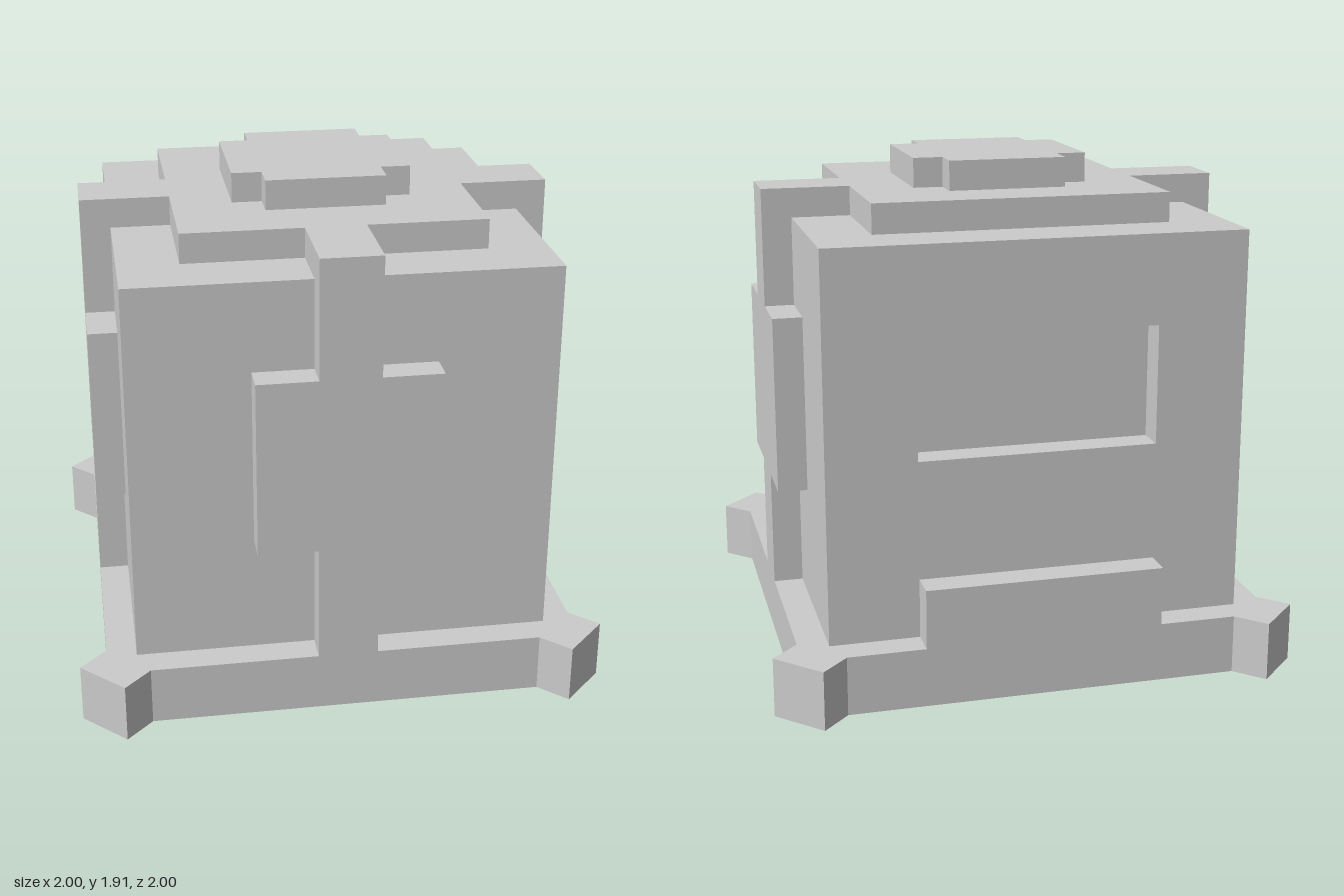
import * as THREE from 'three';

const U = 0.1125; // grid unit that every part snaps to
const material = new THREE.MeshStandardMaterial({ color: 0xcccccc, flatShading: true });

function add(parent, name, geometry) {
  const mesh = new THREE.Mesh(geometry, material);
  mesh.name = name;
  parent.add(mesh);
  return mesh;
}

// Box given by its minimum and maximum corners, in grid units
function box(parent, name, [x0, y0, z0], [x1, y1, z1]) {
  const g = new THREE.BoxGeometry((x1 - x0) * U, (y1 - y0) * U, (z1 - z0) * U);
  g.translate((x0 + x1) / 2 * U, (y0 + y1) / 2 * U, (z0 + z1) / 2 * U);
  return add(parent, name, g);
}

const shapeOf = (pts) => new THREE.Shape(pts.map(([x, y]) => new THREE.Vector2(x, y)));
const rect = (x0, y0, x1, y1) => [[x0, y0], [x1, y0], [x1, y1], [x0, y1]].map((p) => p.map((v) => v * U));
const extrude = (shape, depth) => new THREE.ExtrudeGeometry(shape, { depth, bevelEnabled: false });

// Repeat a corner outline around the four quadrants
function fourCorners(corner) {
  const pts = [];
  let quad = corner;
  for (let i = 0; i < 4; i++) {
    pts.push(...quad);
    quad = quad.map(([x, y]) => [-y, x]);
  }
  return pts;
}

// Horizontal slab from a plan outline, bottom at y0
function slab(parent, name, pts, y0, height) {
  const g = extrude(shapeOf(pts), height);
  g.rotateX(-Math.PI / 2);
  g.translate(0, y0, 0);
  return add(parent, name, g);
}

export function createModel() {
  const model = new THREE.Group();
  model.name = 'crate';

  // Base with a square foot turned 45 degrees at each corner
  slab(model, 'base', fourCorners([[0.9, 0.742], [1, 0.842], [0.842, 1], [0.742, 0.9]]), 0, 2 * U);

  // Body, with a rear wall that holds a recessed window
  box(model, 'body', [-7, 2, -6], [7, 15, 7]);
  const wall = shapeOf(rect(-7, 2, 7, 15));
  wall.holes.push(new THREE.Path(rect(-4, 8, 4, 12).map(([x, y]) => new THREE.Vector2(x, y))));
  add(model, 'rearWall', extrude(wall, U)).position.z = -7 * U;
  box(model, 'rearStep', [-4, 2, -8], [4, 4, -7]);

  // Lid plate and the notched cap on it
  box(model, 'lidPlate', [-5, 15, -5], [5, 16, 5]);
  slab(model, 'cap', fourCorners([[3 * U, 2 * U], [2 * U, 2 * U], [2 * U, 3 * U]]), 16 * U, U);

  // Strap with a wide panel, running from the lid down to the base
  const half = [[1, 2], [1, 6], [3, 6], [3, 12], [1, 12], [1, 16]];
  const outline = [...half, ...half.map(([x, y]) => [-x, y]).reverse()];
  const strapShape = shapeOf(outline.map((p) => p.map((v) => v * U)));
  for (const [side, turn] of [['front', 0], ['left', 1], ['right', -1]]) {
    const strap = new THREE.Group();
    strap.name = side + 'Strap';
    add(strap, 'strapPanel', extrude(strapShape, U)).position.z = 7 * U;
    box(strap, 'strapArm', [-1, 15, 5], [1, 16, 7]);
    strap.rotation.y = turn * Math.PI / 2;
    model.add(strap);
  }
  return model;
}
